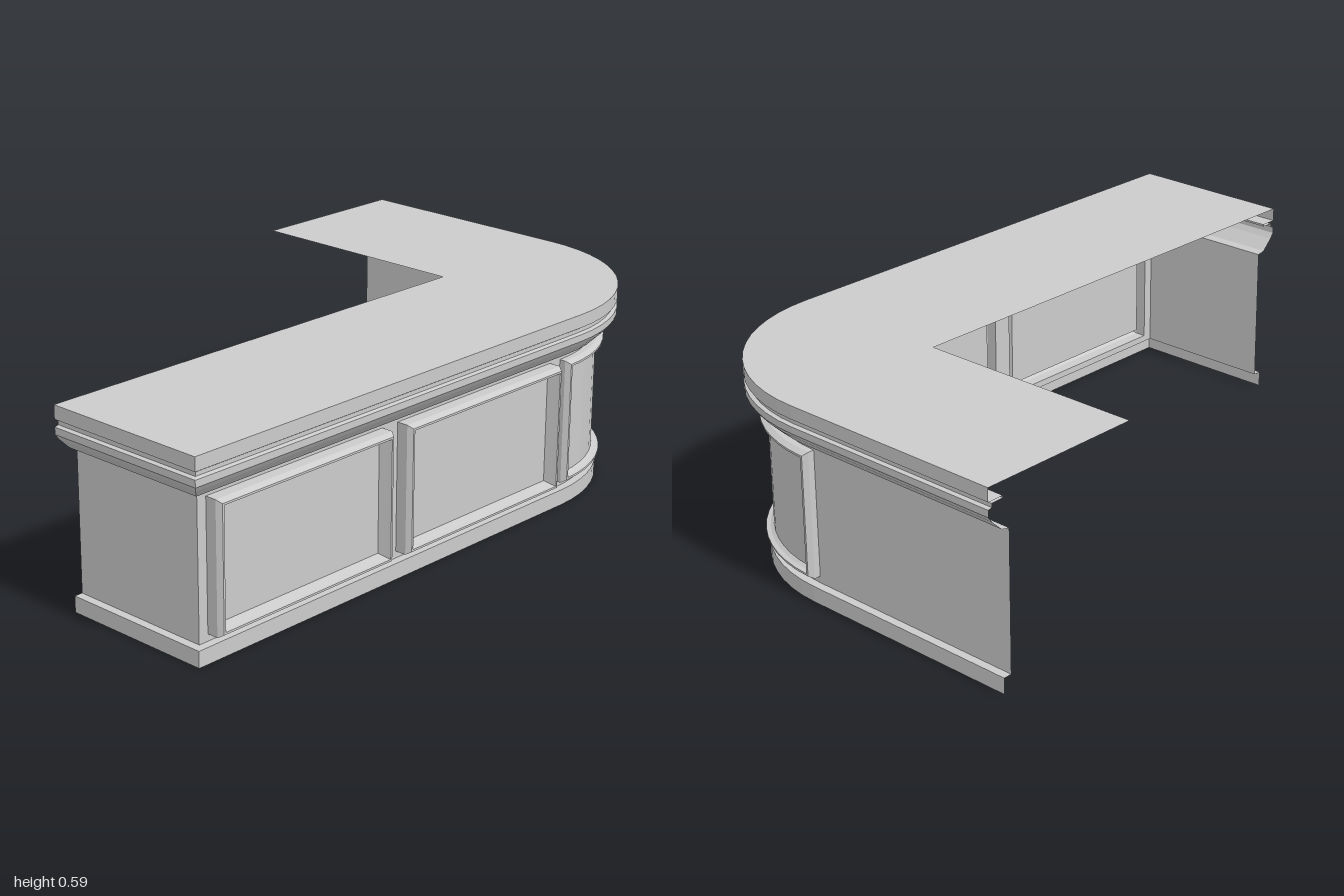
import * as THREE from 'three';

const CX = 0.49, CZ = 0.095, R = 0.51, FRONT = 0.605, BACK = -0.605;
const WALL = 0.07;             // inset of the wall from the outer edge of the top
const Y0 = 0.067, Y1 = 0.438;  // panel openings
const SEG = 14;

const material = new THREE.MeshStandardMaterial({ color: 0xcccccc, flatShading: true, side: THREE.DoubleSide });

// Stations on the plan: each returns [x, z] for a given inset from the outer edge
const leftEnd = o => [-1 + o, CZ];
const leftCorner = o => [-1 + o, FRONT - o];
const front = x => o => [x, FRONT - o];
const bend = a => o => [CX + (R - o) * Math.sin(a), CZ + (R - o) * Math.cos(a)];
const rightEnd = o => [1 - o, BACK];
const arc = Array.from({ length: SEG + 1 }, (_, i) => bend(i / SEG * Math.PI / 2));
const fullPath = [leftEnd, leftCorner, ...arc, rightEnd];

// Quad surface over a grid of points fn(i, j)
function grid(nu, nv, fn) {
  const pos = [], idx = [];
  for (let j = 0; j < nv; j++) for (let i = 0; i < nu; i++) pos.push(...fn(i, j));
  for (let j = 0; j < nv - 1; j++) for (let i = 0; i < nu - 1; i++) {
    const a = j * nu + i, b = a + 1, c = b + nu, d = a + nu;
    idx.push(a, b, c, a, c, d);
  }
  const g = new THREE.BufferGeometry();
  g.setAttribute('position', new THREE.Float32BufferAttribute(pos, 3));
  g.setIndex(idx);
  g.computeVertexNormals();
  return g;
}

// Sweep a profile of [inset, y] points along stations
const sweep = (path, profile) => grid(path.length, profile.length, (i, j) => {
  const [o, y] = profile[j], [x, z] = path[i](o);
  return [x, y, z];
});

export function createModel() {
  const model = new THREE.Group();
  const add = (name, geometry, parent = model) => {
    const m = new THREE.Mesh(geometry, material);
    m.name = name;
    parent.add(m);
  };

  // Plinth
  add('plinth', sweep(fullPath, [[0.045, 0], [0.045, 0.047], [WALL, 0.047]]));

  // Wall: rails above and below the panels, posts between, plain ends
  const wall = new THREE.Group();
  wall.name = 'wall';
  model.add(wall);
  const strip = (name, path, a, b) => add(name, sweep(path, [[WALL, a], [WALL, b]]), wall);
  strip('lowerRail', fullPath, 0.047, Y0);
  strip('upperRail', fullPath, Y1, 0.455);
  strip('leftEndWall', [leftEnd, leftCorner, front(-0.9)], Y0, Y1);
  strip('post', [front(-0.26), front(-0.2)], Y0, Y1);
  strip('post', [front(0.445), front(CX)], Y0, Y1);
  strip('rightWall', [bend(Math.PI / 2), rightEnd], Y0, Y1);

  // Cornice and edge of the top
  add('cornice', sweep(fullPath, [
    [WALL, 0.455], [0.045, 0.46], [0.012, 0.492], [0, 0.508], [0, 0.528],
    [0.012, 0.531], [0.012, 0.542], [0.05, 0.543], [0.05, 0.549]]));
  add('counterEdge', sweep(fullPath, [[0.05, 0.549], [0, 0.549], [0, 0.588]]));

  // Counter top sheet
  const top = new THREE.Shape();
  top.moveTo(-1, -CZ);
  [leftCorner, ...arc, rightEnd].forEach(s => { const [x, z] = s(0); top.lineTo(x, -z); });
  top.lineTo(CX, -BACK);
  top.lineTo(CX, -CZ);
  top.closePath();
  add('counterTop', new THREE.ShapeGeometry(top).rotateX(-Math.PI / 2).translate(0, 0.588, 0));

  // Framed panel: mitred moulding around a field; at(t) gives a station, t in 0..1
  function panel(name, at, length, n, crest) {
    const g = new THREE.Group();
    g.name = name;
    model.add(g);
    const loop = [];
    for (let i = 0; i <= n; i++) loop.push([i / n, 0]);
    for (let i = n; i >= 0; i--) loop.push([i / n, 1]);
    loop.push([0, 0]);
    const point = (t, v, d, o) => {
      const [x, z] = at(d / length + t * (1 - 2 * d / length))(o);
      return [x, Y0 + d + v * (Y1 - Y0 - 2 * d), z];
    };
    const profile = [[0, WALL], [0, crest + 0.015], [0.009, crest], [0.015, crest], [0.018, crest + 0.012], [0.025, 0.058]];
    add('frame', grid(loop.length, profile.length, (i, j) => point(...loop[i], ...profile[j])), g);
    add('field', grid(n + 1, 2, (i, j) => point(i / n, j, 0.025, 0.058)), g);
  }
  const flat = (a, b) => t => front(a + (b - a) * t);
  panel('leftPanel', flat(-0.9, -0.26), 0.64, 1, 0.021);
  panel('middlePanel', flat(-0.2, 0.445), 0.645, 1, 0.021);
  panel('curvedPanel', t => bend(t * Math.PI / 2), (R - WALL) * Math.PI / 2, SEG, 0.036);

  return model;
}
